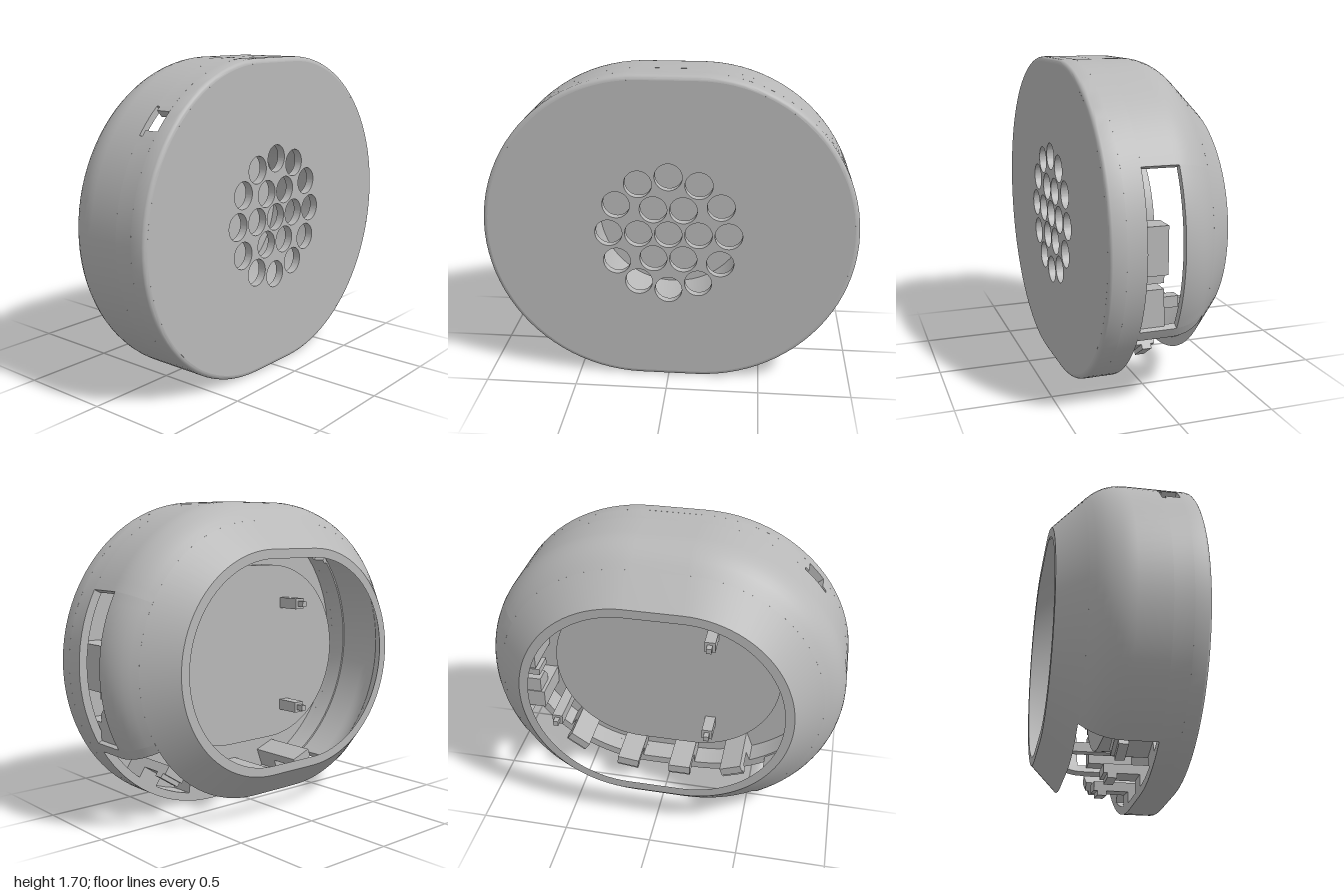
import * as THREE from 'three';
import { toCreasedNormals } from 'three/addons/utils/BufferGeometryUtils.js';

const CY = 0.85, HALF = 0.15, BEND = 0.254, WALL = 0.035;
const rad = (d) => d * Math.PI / 180;

// Point on a rounded outline of radius r; side picks the half circle
const outline = (deg, side, r, z) => [
  side * HALF + r * Math.cos(rad(deg)), CY + r * Math.sin(rad(deg)), z];

// Angle stations from a to b, with the flat top and bottom as double stations
function stations(a, b) {
  const list = [];
  const n = Math.max(2, Math.ceil((b - a) / 4));
  const angles = [];
  for (let i = 0; i <= n; i++) angles.push(a + (b - a) * i / n);
  for (const f of [-90, 90, 270]) if (f > a && f < b) angles.push(f);
  angles.sort((p, q) => p - q);
  angles.forEach((d, i) => {
    if (i && Math.abs(d - angles[i - 1]) < 1e-6) return;
    const c = Math.cos(rad(d));
    if (Math.abs(c) < 1e-6) {
      const s = Math.sign(Math.cos(rad(d - 1)));
      list.push([d, s], [d, -s]);
    } else list.push([d, Math.sign(c)]);
  });
  return list;
}

// Sweeps a closed [r, z] section along the outline from angle a to b
function sweep(section, a, b) {
  const pos = [], st = stations(a, b), n = section.length;
  const at = (s, i) => outline(s[0], s[1], ...section[i % n]);
  for (let k = 0; k < st.length - 1; k++) {
    for (let i = 0; i < n; i++) {
      const p = at(st[k], i), q = at(st[k], i + 1);
      const r = at(st[k + 1], i + 1), s = at(st[k + 1], i);
      pos.push(...p, ...q, ...r, ...p, ...r, ...s);
    }
  }
  if (b - a < 359.9) {
    const pts = section.map(([r, z]) => new THREE.Vector2(r, z));
    for (const [i, j, k] of THREE.ShapeUtils.triangulateShape(pts, [])) {
      const ccw = THREE.ShapeUtils.area([pts[i], pts[j], pts[k]]) > 0;
      const t = ccw ? [i, j, k] : [i, k, j];
      for (const v of t) pos.push(...at(st[0], v));
      for (const v of t.reverse()) pos.push(...at(st[st.length - 1], v));
    }
  }
  const g = new THREE.BufferGeometry();
  g.setAttribute('position', new THREE.Float32BufferAttribute(pos, 3));
  return toCreasedNormals(g, 0.5);
}

// Shell section between two depths: straight wall, bend, then 45 degree cone
function shellSection(z0, z1) {
  const radius = (z, t) => {
    const R = BEND - t;
    if (z >= 0) return CY - t;
    if (z > -R * Math.SQRT1_2) return CY - BEND + Math.sqrt(R * R - z * z);
    return 0.955 - t * Math.SQRT2 + z;
  };
  const zs = [z0];
  for (const z of [0, -0.03, -0.06, -0.09, -0.12, -0.15, -0.18]) if (z < z0 - 0.001 && z > z1 + 0.001) zs.push(z);
  zs.push(z1);
  return [...zs.map((z) => [radius(z, 0), z]), ...zs.reverse().map((z) => [radius(z, WALL), z])];
}

function stadium(r) {
  const s = new THREE.Shape();
  s.absarc(HALF, CY, r, -Math.PI / 2, Math.PI / 2, false);
  s.absarc(-HALF, CY, r, Math.PI / 2, Math.PI * 1.5, false);
  s.closePath();
  return s;
}

function punch(shape, x, y, r) {
  shape.holes.push(new THREE.Path().absarc(x, y, r, 0, Math.PI * 2, true));
}

function plate(shape, z0, z1) {
  const g = new THREE.ExtrudeGeometry(shape, { depth: z1 - z0, bevelEnabled: false, curveSegments: 36 });
  return toCreasedNormals(g.translate(0, 0, z0), 0.5);
}

export function createModel() {
  const model = new THREE.Group();
  const grey = new THREE.MeshStandardMaterial({ color: 0xb8b8b8 });
  grey.name = 'grey plastic';
  const add = (name, geometry, parent = model) => {
    const m = new THREE.Mesh(geometry, grey);
    m.name = name;
    parent.add(m);
    return m;
  };
  const box = (name, x0, x1, y0, y1, z0, z1, parent) =>
    add(name, new THREE.BoxGeometry(x1 - x0, y1 - y0, z1 - z0), parent)
      .position.set((x0 + x1) / 2, (y0 + y1) / 2, (z0 + z1) / 2);

  // Front face with a ring pattern of sound holes
  const face = stadium(0.825);
  punch(face, 0, CY, 0.073);
  for (let i = 0; i < 6; i++) punch(face, 0.16 * Math.cos(rad(60 * i)), CY + 0.16 * Math.sin(rad(60 * i)), 0.073);
  for (let i = 0; i < 12; i++) punch(face, 0.32 * Math.cos(rad(30 * i)), CY + 0.32 * Math.sin(rad(30 * i)), 0.073);
  add('frontFace', plate(face, 0.31, 0.355));

  // Cover rim with a rounded front edge
  const edge = [[0.825, 0.355]];
  for (let i = 1; i <= 5; i++) {
    const a = rad(90 - 18 * i);
    edge.push([0.825 + 0.025 * Math.cos(a), 0.33 + 0.025 * Math.sin(a)]);
  }
  add('coverEdge', sweep([...edge, [0.85, 0.27], [0.805, 0.27], [0.805, 0.32]], -90, 270));

  // Rear band of the rim, broken by a T-shaped latch slot
  const band = (z0, z1) => [[0.85, z0], [0.85, z1], [0.805, z1], [0.805, z0]];
  add('coverRim', sweep(band(0.27, 0.17), 143.1, 491.2));
  add('latchSlotSide', sweep(band(0.27, 0.19), 131.2, 133));
  add('latchSlotSide', sweep(band(0.27, 0.19), 141, 143.1));

  // Speaker chamber behind the holes
  const chamber = stadium(0.5);
  punch(chamber, 0, CY, 0.42);
  add('chamberWall', plate(chamber, 0.03, 0.31));
  add('chamberBack', plate(stadium(0.5), 0, 0.03));

  // Rear shell: side window on +x, long gap along the bottom
  add('shellCone', sweep(shellSection(-0.21, -0.355), -90, 270));
  add('shellWall', sweep(shellSection(0.17, -0.21), 28, 238));
  add('windowLedge', sweep(shellSection(-0.02, -0.21), -28, 28));
  add('windowBar', sweep(shellSection(0.17, -0.21), -32, -28));

  // Snap clips along the lower rim
  for (const x of [0.55, 0.24, -0.08, -0.4]) {
    const side = Math.abs(x) > HALF ? Math.sign(x) : 0;
    const dx = side ? x - side * HALF : 0;
    const clip = new THREE.Group();
    clip.name = 'snapClip';
    clip.position.set(x, CY - Math.sqrt(0.72 ** 2 - dx * dx), 0);
    clip.rotation.z = Math.asin(dx / 0.72);
    box('clipArm', -0.065, 0.065, -0.02, 0.03, -0.02, 0.315, clip);
    box('clipHook', -0.065, 0.065, -0.045, -0.02, 0.0, 0.05, clip);
    box('clipFoot', -0.065, 0.065, -0.09, -0.02, 0.17, 0.315, clip);
    model.add(clip);
  }

  // Socket blocks in the side window
  box('upperSocketBlock', 0.8, 0.92, 0.73, 0.97, 0.035, 0.315);
  box('lowerSocketBlock', 0.76, 0.88, 0.45, 0.56, 0.035, 0.315);
  const wedge = new THREE.Shape([[0.17, 0.56], [0.04, 0.56], [0.04, 0.65], [0.13, 0.65], [0.17, 0.6]]
    .map(([z, y]) => new THREE.Vector2(-z, y)));
  const wedgeGeo = new THREE.ExtrudeGeometry(wedge, { depth: 0.1, bevelEnabled: false });
  add('socketWedge', wedgeGeo.rotateY(Math.PI / 2).translate(0.78, 0, 0));
  box('socketFin', 0.78, 0.88, 0.68, 0.72, 0.04, 0.17);

  // Board posts with slim tips
  for (const [x, y, base] of [[-0.26, 1.13, 0.01], [-0.26, 0.53, 0.01], [0.63, 0.5, 0.315]]) {
    box('boardPost', x - 0.03, x + 0.03, y - 0.03, y + 0.03, -0.13, base);
    box('postTip', x - 0.015, x + 0.015, y - 0.015, y + 0.015, -0.17, -0.13);
  }
  return model;
}
